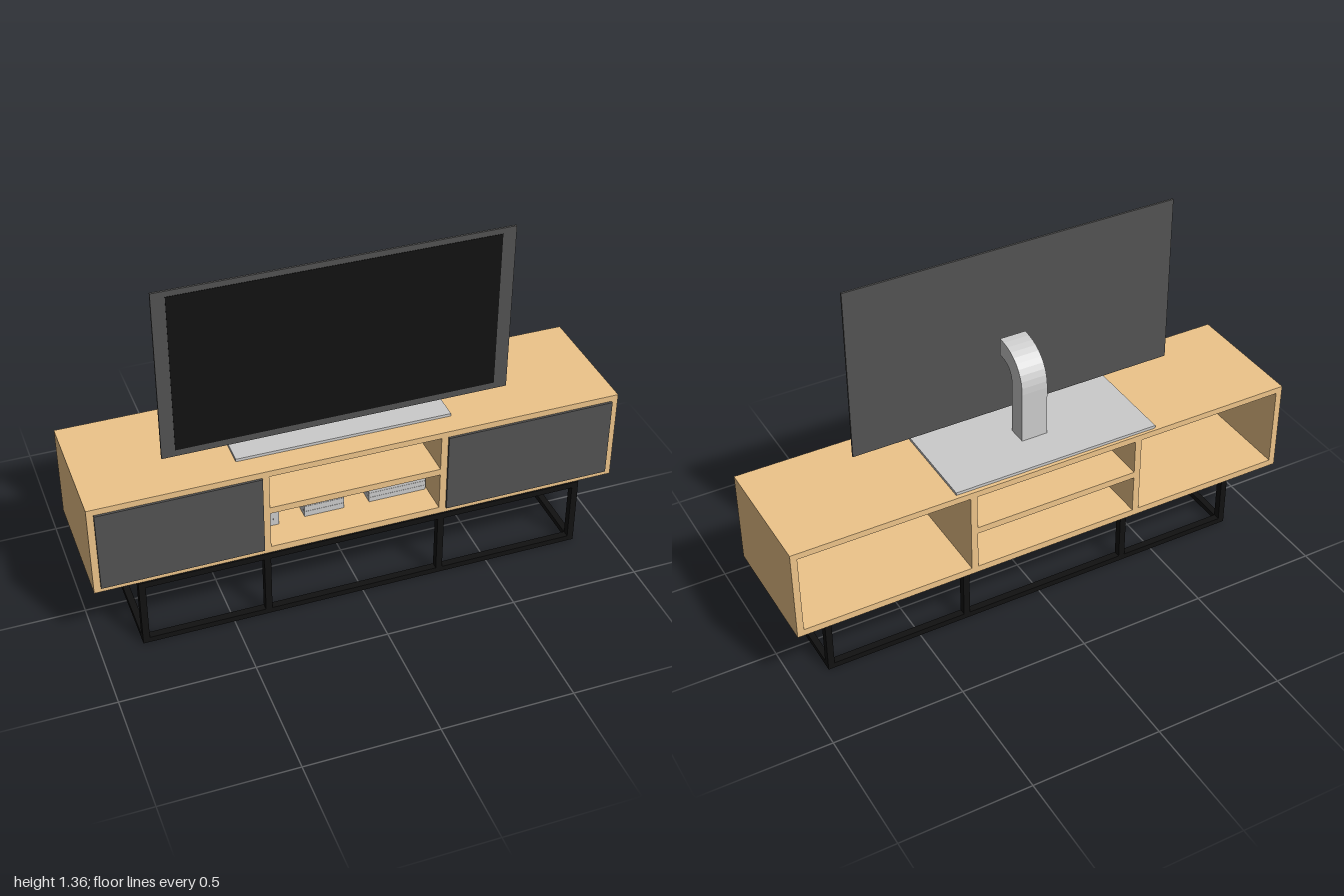
import * as THREE from 'three';

const grey = new THREE.MeshStandardMaterial({ color: 0xcccccc });
const wood = new THREE.MeshStandardMaterial({ color: 0xeec58a });
const charcoal = new THREE.MeshStandardMaterial({ color: 0x525252 });
const black = new THREE.MeshStandardMaterial({ color: 0x111111 });

// Box given by its limits along each axis
function box(parent, name, mat, [x0, x1], [y0, y1], [z0, z1]) {
  const mesh = new THREE.Mesh(new THREE.BoxGeometry(x1 - x0, y1 - y0, z1 - z0), mat);
  mesh.position.set((x0 + x1) / 2, (y0 + y1) / 2, (z0 + z1) / 2);
  mesh.name = name;
  parent.add(mesh);
  return mesh;
}

function group(parent, name) {
  const g = new THREE.Group();
  g.name = name;
  parent.add(g);
  return g;
}

function buildBase(root) {
  const base = group(root, 'baseFrame');
  const xs = [-0.831, -0.367, 0.306, 0.855];
  const w = 0.0125;
  const zBack = [-0.168, -0.14], zFront = [0.217, 0.245];
  const yLow = [0, 0.022], yHigh = [0.258, 0.282];
  // Long rails
  for (const z of [zBack, zFront])
    for (const y of [yLow, yHigh])
      box(base, 'rail', black, [xs[0] - w, xs[3] + w], y, z);
  // Posts and cross bars; only the ends have a bar on the floor
  xs.forEach((x, i) => {
    const span = [x - w, x + w];
    for (const z of [zBack, zFront]) box(base, 'post', black, span, [0.022, 0.258], z);
    box(base, 'topCrossBar', black, span, yHigh, [-0.14, 0.217]);
    if (i === 0 || i === 3) box(base, 'floorCrossBar', black, span, yLow, [-0.14, 0.217]);
  });
}

function buildCabinet(root) {
  const cab = group(root, 'cabinet');
  const z = [-0.25, 0.241];
  const inner = [0.31, 0.625];
  box(cab, 'topPanel', wood, [-1, 1], [0.625, 0.649], z);
  box(cab, 'bottomPanel', wood, [-1, 1], [0.284, 0.31], z);
  box(cab, 'sidePanel', wood, [-1, -0.975], inner, z);
  box(cab, 'sidePanel', wood, [0.975, 1], inner, z);
  box(cab, 'divider', wood, [-0.377, -0.351], inner, z);
  box(cab, 'divider', wood, [0.298, 0.324], inner, z);
  box(cab, 'shelf', wood, [-0.351, 0.298], [0.461, 0.487], z);
  box(cab, 'rightDoor', charcoal, [-0.975, -0.377], [0.305, 0.625], [0.232, 0.25]);
  box(cab, 'leftDoor', charcoal, [0.324, 0.975], [0.305, 0.625], [0.232, 0.25]);
}

function buildBooks(root) {
  const books = group(root, 'shelfItems');
  // Upright books
  for (let i = 0; i < 3; i++)
    box(books, 'uprightBook', grey, [-0.35 + i * 0.0217, -0.3285 + i * 0.0217], [0.31, 0.437], [0.012, 0.13]);
  // Lying stacks
  const stack = (x, n, h) => {
    for (let i = 0; i < n; i++)
      box(books, 'lyingBook', grey, x, [0.31 + i * h, 0.31 + (i + 0.96) * h], [0, 0.122]);
  };
  stack([-0.184, -0.03], 3, 0.0235);
  stack([0.068, 0.292], 6, 0.0202);
}

function buildTelevision(root) {
  const tv = group(root, 'television');
  // Foot plate
  const plate = box(tv, 'footPlate', grey, [-0.442, 0.37], [0.648, 0.66], [-0.236, 0.152]);
  plate.rotation.y = -0.006;

  // Curved neck: side profile (z, y) extruded across x
  const s = new THREE.Shape();
  s.moveTo(-0.085, 0.655);
  s.lineTo(-0.085, 0.86);
  s.bezierCurveTo(-0.085, 0.95, -0.02, 1.007, 0.075, 1.007);
  s.lineTo(0.075, 0.938);
  s.bezierCurveTo(0.02, 0.938, -0.012, 0.915, -0.012, 0.86);
  s.lineTo(-0.012, 0.655);
  s.closePath();
  const neckGeo = new THREE.ExtrudeGeometry(s, { depth: 0.102, bevelEnabled: false, curveSegments: 10 });
  neckGeo.rotateY(-Math.PI / 2); // profile z axis now along +z, depth along -x
  const neck = new THREE.Mesh(neckGeo, grey);
  neck.name = 'neck';
  neck.position.x = 0.027;
  tv.add(neck);

  // Display, leaning forward very slightly
  const display = group(tv, 'display');
  display.position.set(-0.042, 1.025, 0.0955);
  display.rotation.x = 0.005;
  box(display, 'casing', charcoal, [-0.652, 0.652], [-0.336, 0.336], [-0.004, 0.004]);
  box(display, 'screen', black, [-0.602, 0.601], [-0.31, 0.314], [0, 0.0055]);
}

export function createModel() {
  const root = new THREE.Group();
  root.name = 'mediaConsole';
  buildBase(root);
  buildCabinet(root);
  buildBooks(root);
  buildTelevision(root);
  return root;
}
